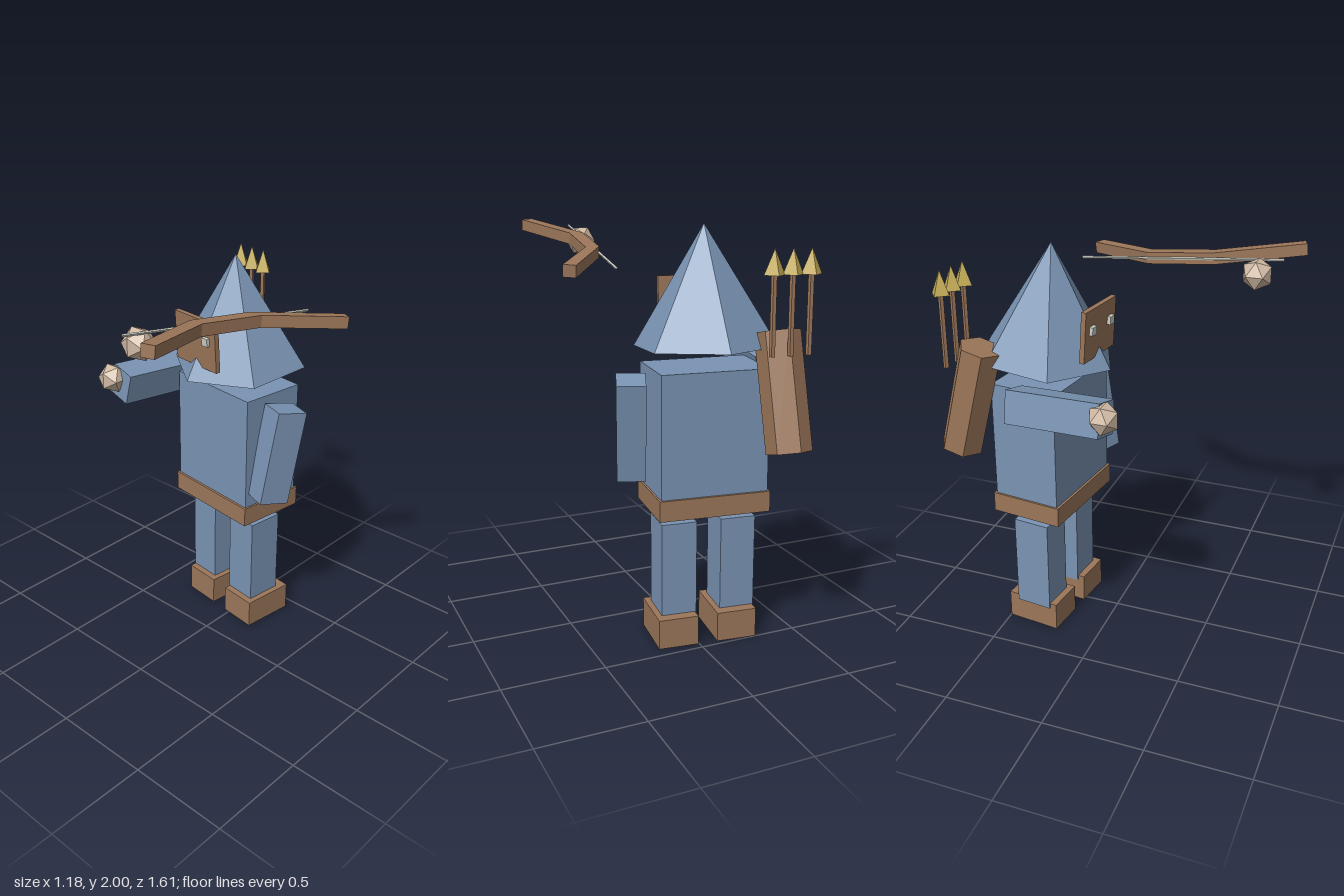
import * as THREE from 'three';

const flat = (name, color) => {
  const m = new THREE.MeshStandardMaterial({ color, flatShading: true });
  m.name = name;
  return m;
};

export function createModel() {
  const blue = flat('blueCloth', 0x7a94b4);
  const brown = flat('brownLeather', 0x9c775a);
  const skin = flat('paleSkin', 0xd0b9a3);
  const gold = flat('goldTip', 0xc4aa52);
  const pale = flat('paleGrey', 0xd0d0c8);

  const model = new THREE.Group();
  model.name = 'archer';

  // rotations are yaw, then pitch, then roll
  const add = (parent, name, geometry, material, pos, rot = [0, 0, 0]) => {
    const mesh = new THREE.Mesh(geometry, material);
    mesh.name = name;
    mesh.position.set(...pos);
    mesh.rotation.set(...rot, 'YXZ');
    parent.add(mesh);
    return mesh;
  };
  const box = (w, h, d) => new THREE.BoxGeometry(w, h, d);

  // figure, turned slightly to its right
  const figure = new THREE.Group();
  figure.name = 'figure';
  figure.position.set(-0.08, 0, -0.322);
  figure.rotation.y = -0.12;
  model.add(figure);

  add(figure, 'torso', box(0.525, 0.65, 0.345), blue, [0, 1.025, 0]);
  add(figure, 'belt', box(0.545, 0.1, 0.37), brown, [0, 0.71, 0]);
  for (const side of [-1, 1]) {
    const label = side > 0 ? 'left' : 'right';
    add(figure, label + 'Leg', box(0.174, 0.49, 0.19), blue, [side * 0.148, 0.365, 0]);
    add(figure, label + 'Boot', box(0.198, 0.147, 0.28), brown, [side * 0.148 + 0.018, 0.0735, -0.01]);
  }

  // hood and the mask it pokes through
  add(figure, 'hood', new THREE.ConeGeometry(0.343, 0.56, 6), blue, [0, 1.72, 0.009], [0.06, 0, 0]);
  const mask = add(figure, 'mask', box(0.293, 0.25, 0.025), brown, [0, 1.615, 0.268], [0.06, 0, 0]);
  for (const side of [-1, 1])
    add(mask, 'eye', box(0.04, 0.04, 0.02), pale, [side * 0.087, 0.025, 0.02]);

  // arms and floating fists
  add(model, 'leftArm', box(0.138, 0.49, 0.16), blue, [0.257, 1.06, -0.236], [-0.185, -0.37, 0]);
  add(model, 'rightArm', box(0.14, 0.16, 0.49), blue, [-0.449, 1.325, -0.118], [-0.06, -0.12, -0.22]);
  const fist = new THREE.IcosahedronGeometry(0.077, 0);
  add(model, 'rightFist', fist, skin, [-0.525, 1.363, 0.132]);
  add(model, 'leftFist', fist, skin, [0.19, 1.865, 0.615]);

  // quiver with three arrows
  add(model, 'quiver', new THREE.CylinderGeometry(0.106, 0.106, 0.553, 6), brown, [-0.325, 1.263, -0.633], [0.25, 0, 0]);
  for (let i = -1; i <= 1; i++) {
    const arrow = new THREE.Group();
    arrow.name = 'arrow';
    arrow.position.set(-0.318 + i * 0.086, 0, -0.696 + i * 0.0115);
    arrow.rotation.y = -0.12;
    model.add(arrow);
    add(arrow, 'arrowShaft', new THREE.CylinderGeometry(0.014, 0.014, 0.38, 5), brown, [0, 1.63, 0]);
    add(arrow, 'arrowTip', new THREE.ConeGeometry(0.05, 0.115, 4), gold, [0, 1.855, 0]);
  }

  // bow: a bent outline extruded downwards, lying on a gentle slope
  const bow = new THREE.Group();
  bow.name = 'bow';
  bow.position.y = 1.849;
  bow.rotation.x = -0.119;
  model.add(bow);
  const outline = [
    [0.543, -0.325], [0.594, -0.295], [0.368, 0.043], [0.329, 0.385],
    [0.457, 0.783], [0.397, 0.803], [0.26, 0.385], [0.299, 0.045],
  ].map(([x, z]) => new THREE.Vector2(x, z * 1.007));
  const limbs = new THREE.ExtrudeGeometry(new THREE.Shape(outline), { depth: 0.056, bevelEnabled: false });
  limbs.rotateX(Math.PI / 2);
  add(bow, 'bowLimbs', limbs, brown, [0, 0.028, 0]);
  const a = new THREE.Vector3(0.347, 0, -0.32);
  const b = new THREE.Vector3(0.214, 0, 0.738);
  const string = new THREE.TubeGeometry(new THREE.LineCurve3(a, b), 1, 0.007, 5);
  add(bow, 'bowString', string, pale, [0, 0, 0]);

  return model;
}
